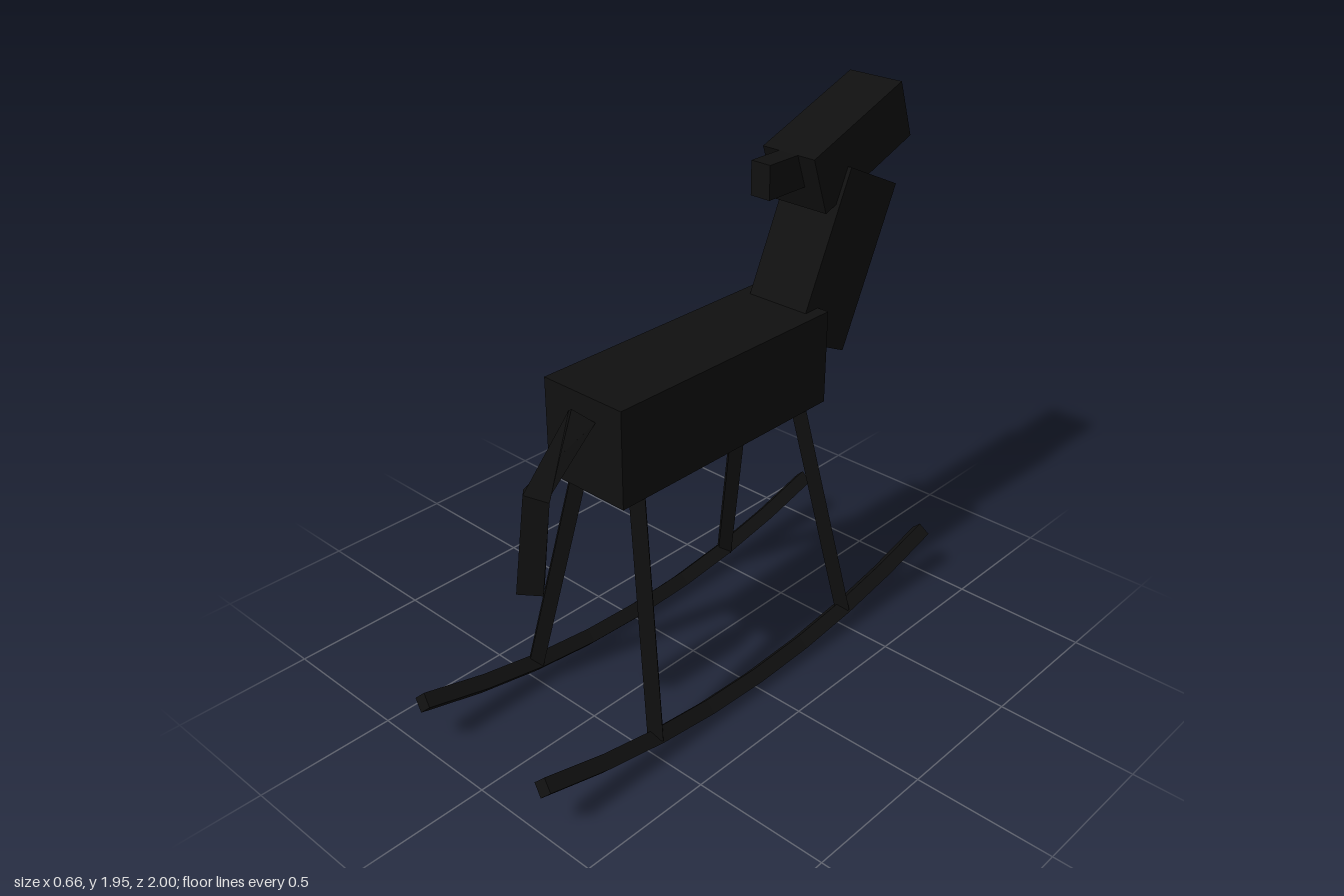
import * as THREE from 'three';

// Four-sided bar swept through [z, y] points; flips[i] turns a ring by half a turn
function sweepBar(points, radius, flips = []) {
  const X = new THREE.Vector3(1, 0, 0);
  const centres = points.map(([z, y]) => new THREE.Vector3(0, y, z));
  const rings = centres.map((c, i) => {
    const t = new THREE.Vector3();
    if (i > 0) t.add(c.clone().sub(centres[i - 1]).normalize());
    if (i < centres.length - 1) t.add(centres[i + 1].clone().sub(c).normalize());
    t.normalize();
    const n = t.cross(X).normalize();
    return [0, 1, 2, 3].map((k) => {
      const a = (k * Math.PI) / 2 + (flips[i] ? Math.PI : 0);
      return c.clone().addScaledVector(X, radius * Math.cos(a)).addScaledVector(n, radius * Math.sin(a));
    });
  });
  const tris = [];
  for (let i = 0; i < rings.length - 1; i++) {
    for (let k = 0; k < 4; k++) {
      const m = (k + 1) % 4;
      const [a, b, c, d] = [rings[i][k], rings[i][m], rings[i + 1][m], rings[i + 1][k]];
      tris.push(a, b, c, a, c, d);
    }
  }
  const [s, e] = [rings[0], rings[rings.length - 1]];
  tris.push(s[0], s[2], s[1], s[0], s[3], s[2], e[0], e[1], e[2], e[0], e[2], e[3]);
  const geo = new THREE.BufferGeometry().setFromPoints(tris);
  geo.computeVertexNormals();
  return geo;
}

export function createModel() {
  const group = new THREE.Group();
  const black = new THREE.MeshStandardMaterial({ color: 0x101010, side: THREE.DoubleSide, flatShading: true });
  black.name = 'black';

  const add = (name, geo, x = 0, y = 0, z = 0, tilt = 0) => {
    const mesh = new THREE.Mesh(geo, black);
    mesh.name = name;
    mesh.position.set(x, y, z);
    mesh.rotation.x = tilt;
    group.add(mesh);
    return mesh;
  };
  const box = (w, h, d) => new THREE.BoxGeometry(w, h, d);

  // Body, neck, head and the small block behind the head
  add('body', box(0.34, 0.345, 0.99), 0, 1.077, 0.003);
  add('neck', box(0.25, 0.613, 0.29), 0, 1.374, -0.644, -0.438);
  add('head', box(0.22, 0.218, 0.49), 0, 1.76, -0.727, 0.345);
  add('headBlock', box(0.08, 0.12, 0.28), 0, 1.72, -0.46);

  // Tail with a twisted upper half
  add('tail', sweepBar([[0.5, 1.172], [0.7, 0.975], [0.745, 0.657]], 0.06, [true]));

  // Curved rockers
  const arc = [];
  for (let i = 0; i <= 8; i++) {
    const z = 0.99 * (i / 4 - 1);
    arc.push([z, 0.037 + 0.152 * z * z]);
  }
  const rocker = sweepBar(arc, 0.037);

  // Splayed legs, mirrored to all four corners
  const up = new THREE.Vector3(0, 1, 0);
  for (const sx of [1, -1]) {
    add(sx > 0 ? 'leftRocker' : 'rightRocker', rocker, sx * 0.295);
    for (const sz of [1, -1]) {
      const foot = new THREE.Vector3(sx * 0.295, 0.075, sz * 0.498);
      const top = new THREE.Vector3(sx * 0.124, 0.93, sz * 0.395);
      const dir = top.clone().sub(foot);
      const leg = add('leg', new THREE.CylinderGeometry(0.036, 0.036, dir.length(), 4));
      leg.position.copy(foot).add(top).multiplyScalar(0.5);
      leg.quaternion.setFromUnitVectors(up, dir.normalize());
    }
  }
  return group;
}
